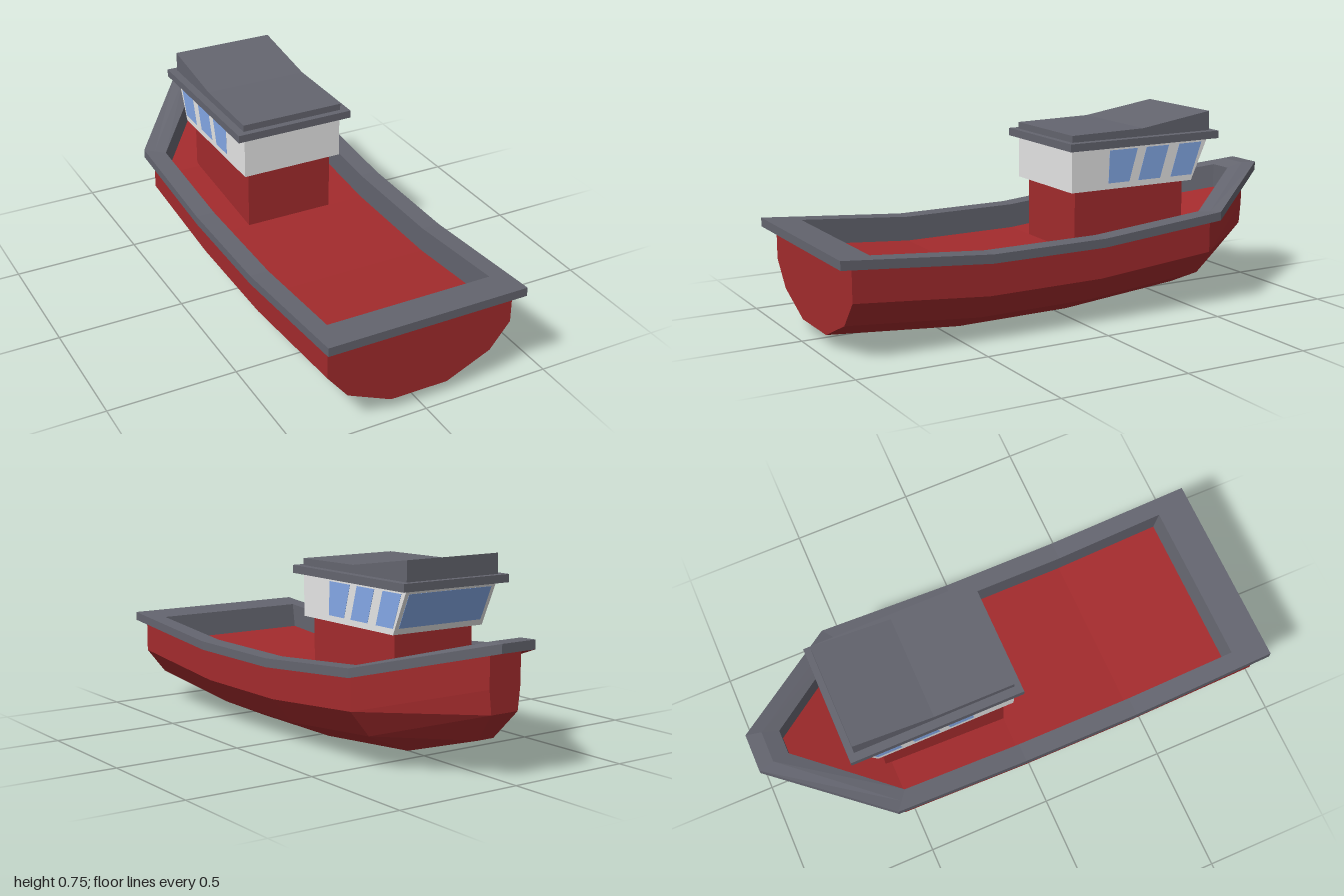
import * as THREE from 'three';

const mat = (name, color, side = THREE.FrontSide) => {
  const m = new THREE.MeshStandardMaterial({ color, side });
  m.name = name;
  return m;
};

// Piecewise height of the rail along the boat (z, y)
const SHEER = [[-1, 0.497], [-0.94, 0.497], [-0.58, 0.385], [-0.05, 0.34], [0.42, 0.338], [1, 0.385]];
function sheer(z) {
  for (let i = 1; i < SHEER.length; i++) {
    const [z0, y0] = SHEER[i - 1], [z1, y1] = SHEER[i];
    if (z <= z1) return y0 + (y1 - y0) * (z - z0) / (z1 - z0);
  }
  return 0.385;
}

// Flat-shaded geometry from a list of quads
function quadGeometry(quads) {
  const pos = [];
  for (const [a, b, c, d] of quads) pos.push(...a, ...b, ...c, ...a, ...c, ...d);
  const g = new THREE.BufferGeometry();
  g.setAttribute('position', new THREE.Float32BufferAttribute(pos, 3));
  g.computeVertexNormals();
  return g;
}

// Quads between successive cross-sections
function loft(rings) {
  const quads = [];
  for (let i = 0; i < rings.length - 1; i++) {
    const p = rings[i], q = rings[i + 1];
    for (let j = 0; j < p.length - 1; j++) quads.push([q[j], q[j + 1], p[j + 1], p[j]]);
  }
  return quads;
}

// Adds the mirror image of each quad
const mirror = ([x, y, z]) => [-x, y, z];
const bothSides = (quads) => [...quads, ...quads.map((q) => q.map(mirror).reverse())]
  .map((q, i) => (i < quads.length ? q : [q[3], q[0], q[1], q[2]]));

// End cap between a half section and its mirror image
const cap = (half) => loft([half.map(mirror), half]);

// Side profile of [z, y] points extruded from x0 to x1
function prism(points, x0, x1) {
  const shape = new THREE.Shape(points.map(([z, y]) => new THREE.Vector2(-z, y)));
  const g = new THREE.ExtrudeGeometry(shape, { depth: x1 - x0, bevelEnabled: false });
  return g.rotateY(Math.PI / 2).translate(x0, 0, 0);
}

export function createModel() {
  const red = mat('hull red', 0xa32b2d);
  const grey = mat('trim grey', 0x64656f, THREE.DoubleSide);
  const white = mat('cabin white', 0xe6e6e6);
  const blue = mat('window blue', 0x86abea);

  const boat = new THREE.Group();
  boat.name = 'boat';
  const add = (name, geometry, material) => {
    const m = new THREE.Mesh(geometry, material);
    m.name = name;
    boat.add(m);
    return m;
  };

  // Hull: half sections from bow to stern, each ending on the keel line
  const section = (z, top, lift) => [
    [0.37, top, z], [0.37, 0.177 + lift, z], [0.29, 0.078 + lift, z], [0.115, lift, z], [0, lift, z],
  ];
  const halves = [
    [[0.07, 0.462, -0.935], [0.07, 0.33, -0.935], [0.06, 0.24, -0.935], [0.035, 0.13, -0.84], [0, 0.13, -0.84]],
    section(-0.55, 0.35, 0.046),
    section(-0.05, 0.307, 0.003),
    section(0.42, 0.305, 0),
    section(0.95, 0.35, 0.046),
  ];
  const bowEnd = halves[0].slice(0, 4);
  const sternEnd = halves[4].slice(0, 4).reverse();
  add('hull', quadGeometry([...bothSides(loft(halves)), ...cap(bowEnd), ...cap(sternEnd)]), red);

  // Deck follows the curve of the rail
  const DECK_DROP = 0.097;
  const deckY = (z) => sheer(z) - DECK_DROP;
  const deckRows = [[-0.877, 0.048], [-0.525, 0.327], [-0.05, 0.327], [0.42, 0.327], [0.85, 0.327]]
    .map(([z, w]) => [[-w, deckY(z), z], [w, deckY(z), z]]);
  add('deck', quadGeometry(loft(deckRows)), red);

  // Rail and inner bulwark: plan stations [x, z] for hull, outer, middle, inner, deck edge, bow to stern
  const plan = [
    [[0.065, -0.93], [0.075, -1], [0.062, -0.94], [0.048, -0.877], [0.048, -0.877]],
    [[0.36, -0.545], [0.4, -0.58], [0.365, -0.553], [0.327, -0.525], [0.327, -0.525]],
    [[0.36, -0.05], [0.4, -0.05], [0.365, -0.05], [0.327, -0.05], [0.327, -0.05]],
    [[0.36, 0.42], [0.4, 0.42], [0.365, 0.42], [0.327, 0.42], [0.327, 0.42]],
    [[0.36, 0.945], [0.395, 1], [0.362, 0.93], [0.327, 0.865], [0.327, 0.85]],
  ];
  const half = plan.map(([hull, outer, mid, inner, deck]) => {
    const at = ([x, z], dy) => [x, sheer(z) + dy, z];
    return [at(deck, -DECK_DROP), at(inner, 0), at(mid, 0), at(outer, 0), at(outer, -0.034), at(hull, -0.034)];
  });
  // One loop of quads around the boat, for a span of the rail profile
  const railQuads = (from, to) => {
    const span = half.map((r) => r.slice(from, to));
    return [
      ...bothSides(loft(span)),
      ...loft([span[0].map(mirror), span[0]]),
      ...loft([span[4], span[4].map(mirror)]),
    ];
  };
  add('rail', quadGeometry(railQuads(0, 5)), grey);
  add('railUnderside', quadGeometry(railQuads(4, 6)), red);

  // Cabin base and wheelhouse with raked front
  add('cabinBase', prism([[-0.05, 0.22], [-0.55, 0.22], [-0.55, 0.48], [-0.05, 0.48]], -0.178, 0.178), red);
  add('wheelhouse', prism([[-0.02, 0.48], [-0.575, 0.48], [-0.65, 0.645], [-0.02, 0.645]], -0.205, 0.205), white);

  // Side windows: [bottom rear, bottom front, top front, top rear] along z
  const panes = [
    [-0.185, -0.281, -0.318, -0.19],
    [-0.322, -0.425, -0.465, -0.36],
    [-0.475, -0.575, -0.622, -0.515],
  ];
  for (const side of [-1, 1]) {
    for (const [a, b, c, d] of panes) {
      const x = side * 0.2045;
      add('sideWindow', prism([[a, 0.503], [b, 0.503], [c, 0.631], [d, 0.631]], x - 0.0015, x + 0.0015), blue);
    }
  }

  // Windscreen on the raked front
  const rake = (y) => -0.575 - (y - 0.48) * 0.4545;
  add('windscreen', prism([
    [rake(0.503) + 0.002, 0.503], [rake(0.503) - 0.0015, 0.503],
    [rake(0.631) - 0.0015, 0.631], [rake(0.631) + 0.002, 0.631],
  ], -0.188, 0.188), blue);

  // Eaves and upswept roof
  add('eaves', new THREE.BoxGeometry(0.48, 0.03, 0.685), grey).position.set(0, 0.66, -0.3375);
  add('roof', prism([
    [-0.02, 0.675], [-0.655, 0.675], [-0.655, 0.752], [-0.34, 0.706], [-0.02, 0.701],
  ], -0.208, 0.208), grey);

  return boat;
}
